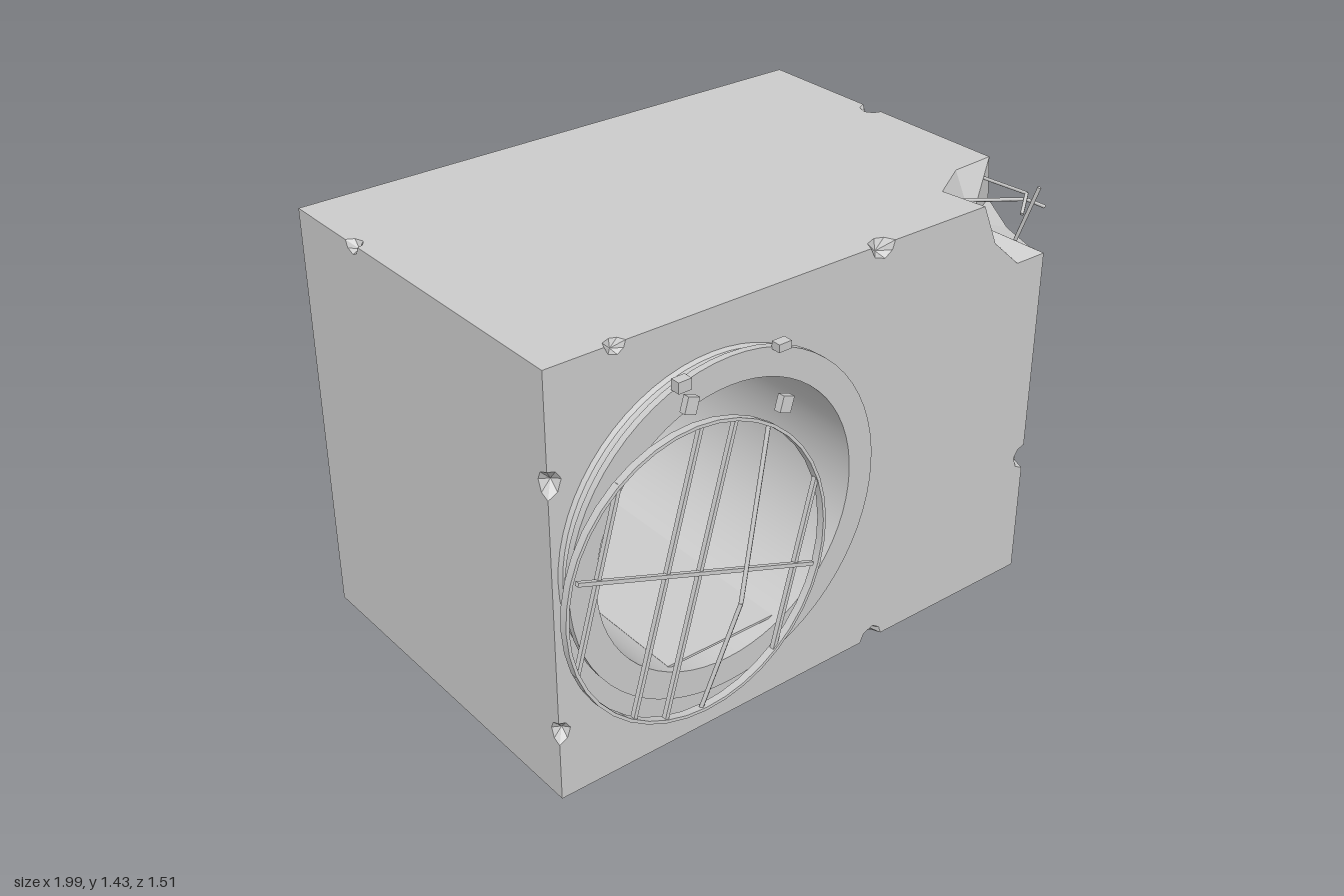
import * as THREE from 'three';
import { toCreasedNormals } from 'three/addons/utils/BufferGeometryUtils.js';

const V = (x, y, z) => new THREE.Vector3(x, y, z);
const grey = new THREE.MeshStandardMaterial({ color: 0xcccccc, side: THREE.DoubleSide });
const facet = new THREE.MeshStandardMaterial({ color: 0xcccccc, side: THREE.DoubleSide, flatShading: true });

// Block limits and duct axis
const [X0, X1, Y0, Y1, Z0, Z1] = [-0.92, 0.98, 0, 1.43, -0.755, 0.52];
const CX = -0.365, CY = 0.76, HOLE = 0.475;

function add(parent, name, geometry, material = grey) {
  const mesh = new THREE.Mesh(geometry, material);
  mesh.name = name;
  parent.add(mesh);
  return mesh;
}

// Straight rod between two points
function rod(parent, name, a, b, r) {
  const mesh = add(parent, name, new THREE.CylinderGeometry(r, r, a.distanceTo(b), 6));
  mesh.position.copy(a).lerp(b, 0.5);
  mesh.quaternion.setFromUnitVectors(V(0, 1, 0), b.clone().sub(a).normalize());
}

function box(parent, name, size, pos, rotZ = 0, rotX = 0) {
  const mesh = add(parent, name, new THREE.BoxGeometry(...size));
  mesh.position.set(...pos);
  mesh.rotation.set(rotX, 0, rotZ);
}

// Lathe around the duct axis; profile points are [radius, z]
function turned(parent, name, profile) {
  const pts = profile.map(([r, z]) => new THREE.Vector2(r, z));
  const geo = new THREE.LatheGeometry(pts, 64).rotateX(Math.PI / 2);
  // rotation sends the lathe axis to +z
  add(parent, name, toCreasedNormals(geo, 0.6)).position.set(CX, CY, 0);
}

// Chip on an edge: rim paths on both faces and a sunken middle point
function edgeChip(p, along, in1, in2, r) {
  const at = (t, d, dir) => p.clone().addScaledVector(along, t * r).addScaledVector(dir, d * r);
  const a = at(-1, 0, in1), b = at(1, 0, in1);
  return {
    paths: [
      [a, at(-0.65, 0.7, in1), at(0.2, 1, in1), at(0.8, 0.6, in1), b],
      [a, at(-0.7, 0.65, in2), at(0.1, 0.95, in2), at(0.7, 0.7, in2), b],
    ],
    apex: at(0, 0.7, in1).addScaledVector(in2, 0.7 * r),
  };
}

function makeChips() {
  const [ex, ey, ez] = [V(1, 0, 0), V(0, 1, 0), V(0, 0, 1)];
  const [nx, ny, nz] = [V(-1, 0, 0), V(0, -1, 0), V(0, 0, -1)];
  const A = V(0.69, Y1, Z1), B = V(X1, 1.19, Z1), C = V(X1, Y1, 0.26);
  return [
    edgeChip(V(-0.69, Y1, Z1), ex, ny, nz, 0.035),
    edgeChip(V(0.27, Y1, Z1), ex, ny, nz, 0.048),
    edgeChip(V(0.31, Y0, Z1), ex, ey, nz, 0.046),
    edgeChip(V(X0, 1.08, Z1), ey, ex, nz, 0.045),
    edgeChip(V(X0, 0.24, Z1), ey, ex, nz, 0.04),
    edgeChip(V(X1, 0.44, Z1), ey, nx, nz, 0.045),
    edgeChip(V(X0, Y1, -0.44), ez, ex, ny, 0.035),
    edgeChip(V(X1, Y1, -0.28), ez, nx, ny, 0.043),
    { // large broken corner
      paths: [
        [A, V(0.75, 1.29, Z1), V(0.86, 1.19, Z1), B],
        [B, V(X1, 1.19, 0.46), V(X1, 1.22, 0.36), V(X1, 1.29, 0.27), C],
        [C, V(0.82, Y1, 0.27), V(0.67, Y1, 0.36), A],
      ],
      apex: V(0.81, 1.29, 0.36),
    },
  ];
}

// Flat block face whose outline follows the chip rims
function blockFace(parent, name, n, u, offset, chips, hasHole) {
  const v = n.clone().cross(u);
  const onFace = p => Math.abs(p.dot(n) - offset) < 1e-4;
  const flat = p => new THREE.Vector2(p.dot(u), p.dot(v));
  const corners = [];
  for (const x of [X0, X1]) for (const y of [Y0, Y1]) for (const z of [Z0, Z1]) {
    const broken = x === X1 && y === Y1 && z === Z1;
    if (onFace(V(x, y, z)) && !broken) corners.push([V(x, y, z)]);
  }
  const mid = flat(V((X0 + X1) / 2, (Y0 + Y1) / 2, (Z0 + Z1) / 2));
  const angle = p => Math.atan2(p.y - mid.y, p.x - mid.x);
  const runs = [...corners, ...chips.flatMap(c => c.paths).filter(path => path.every(onFace))]
    .map(path => path.map(flat))
    .map(path => (angle(path[0]) > angle(path.at(-1)) ? path.reverse() : path))
    .sort((a, b) => angle(a[0]) - angle(b[0]));
  const shape = new THREE.Shape(runs.flat());
  if (hasHole) {
    const c = flat(V(CX, CY, 0));
    shape.holes.push(new THREE.Path().absarc(c.x, c.y, HOLE, 0, Math.PI * 2, true));
  }
  const m = new THREE.Matrix4().makeBasis(u, v, n).setPosition(n.clone().multiplyScalar(offset));
  add(parent, name, new THREE.ShapeGeometry(shape, 32).applyMatrix4(m));
}

function buildBlock() {
  const block = new THREE.Group();
  block.name = 'block';
  const chips = makeChips();
  blockFace(block, 'frontFace', V(0, 0, 1), V(1, 0, 0), Z1, chips, true);
  blockFace(block, 'backFace', V(0, 0, -1), V(-1, 0, 0), -Z0, chips, true);
  blockFace(block, 'topFace', V(0, 1, 0), V(1, 0, 0), Y1, chips);
  blockFace(block, 'bottomFace', V(0, -1, 0), V(1, 0, 0), -Y0, chips);
  blockFace(block, 'leftFace', V(1, 0, 0), V(0, 0, -1), X1, chips);
  blockFace(block, 'rightFace', V(-1, 0, 0), V(0, 0, 1), -X0, chips);
  // Faceted hollows inside the chips
  for (const { paths, apex } of chips) {
    const pts = paths.flatMap(path => path.slice(1).flatMap((p, i) => [path[i], p, apex]));
    const geo = new THREE.BufferGeometry().setFromPoints(pts);
    geo.computeVertexNormals();
    add(block, 'chip', geo, facet);
  }
  return block;
}

function buildDuct() {
  const duct = new THREE.Group();
  duct.name = 'duct';
  turned(duct, 'flange', [[0.475, 0.52], [0.535, 0.52], [0.53, 0.535], [0.51, 0.548], [0.47, 0.55],
    [0.47, 0.578], [0.555, 0.578], [0.555, 0.6], [0.465, 0.6]]);
  turned(duct, 'tube', [[0.465, 0.6], [0.465, -0.7], [HOLE, -0.7], [HOLE, Z0]]);
  add(duct, 'endCap', new THREE.CircleGeometry(0.465, 64)).position.set(CX, CY, -0.65);
  box(duct, 'floorStrip', [0.4, 0.008, 1.28], [CX, 0.338, -0.07]);
  return duct;
}

// Loose, tilted round grille with a bent bar
function buildGrille() {
  const grille = new THREE.Group();
  grille.name = 'grille';
  const R = 0.455;
  const band = [[R - 0.005, -0.013], [R + 0.005, -0.013], [R + 0.005, 0.013], [R - 0.005, 0.013], [R - 0.005, -0.013]];
  const ring = new THREE.LatheGeometry(band.map(p => new THREE.Vector2(...p)), 40).rotateX(Math.PI / 2);
  add(grille, 'grilleRing', toCreasedNormals(ring, 0.6));
  for (const x of [-0.36, -0.12, 0, 0.365]) {
    const h = Math.sqrt(R * R - x * x);
    box(grille, 'grilleBar', [0.012, 2 * h, 0.016], [x, 0, 0]);
  }
  const h = Math.sqrt(R * R - 0.13 ** 2), bend = V(0.13, -0.08, 0.058);
  rod(grille, 'bentBar', V(0.13, h, 0), bend, 0.007);
  rod(grille, 'bentBar', bend, V(0.13, -h, 0), 0.007);
  box(grille, 'crossBar', [0.865, 0.012, 0.014], [0, 0, 0.006]);
  grille.position.set(-0.54, 0.73, 0.685);
  grille.rotation.set(-0.066, 0, -0.33);
  return grille;
}

export function createModel() {
  const model = new THREE.Group();
  model.name = 'brokenDuctBlock';
  model.add(buildBlock(), buildDuct(), buildGrille());

  // Broken hinge pieces
  const hinges = new THREE.Group();
  hinges.name = 'hinges';
  box(hinges, 'fixedHinge', [0.045, 0.035, 0.032], [-0.545, 1.3, 0.615]);
  box(hinges, 'fixedHinge', [0.045, 0.025, 0.032], [-0.195, 1.3, 0.615]);
  box(hinges, 'looseHinge', [0.04, 0.05, 0.022], [-0.545, 1.253, 0.65], -0.33, -0.066);
  box(hinges, 'looseHinge', [0.04, 0.05, 0.025], [-0.215, 1.14, 0.655], -0.33, -0.066);
  model.add(hinges);

  // Reinforcing rods exposed in the broken corner
  const rods = new THREE.Group();
  rods.name = 'exposedRods';
  rod(rods, 'cornerRod', V(0.72, 1.4, 0.4), V(0.93, 1.37, 0.47), 0.006);
  rod(rods, 'cornerRod', V(0.93, 1.37, 0.47), V(0.985, 1.34, 0.5), 0.006);
  rod(rods, 'cornerRod', V(0.94, 1.42, 0.51), V(0.92, 1.2, 0.44), 0.006);
  rod(rods, 'cornerRod', V(0.87, 1.35, 0.51), V(0.93, 1.39, 0.47), 0.006);
  rod(rods, 'cornerRod', V(0.93, 1.39, 0.47), V(0.93, 1.38, 0.28), 0.006);
  model.add(rods);
  return model;
}
